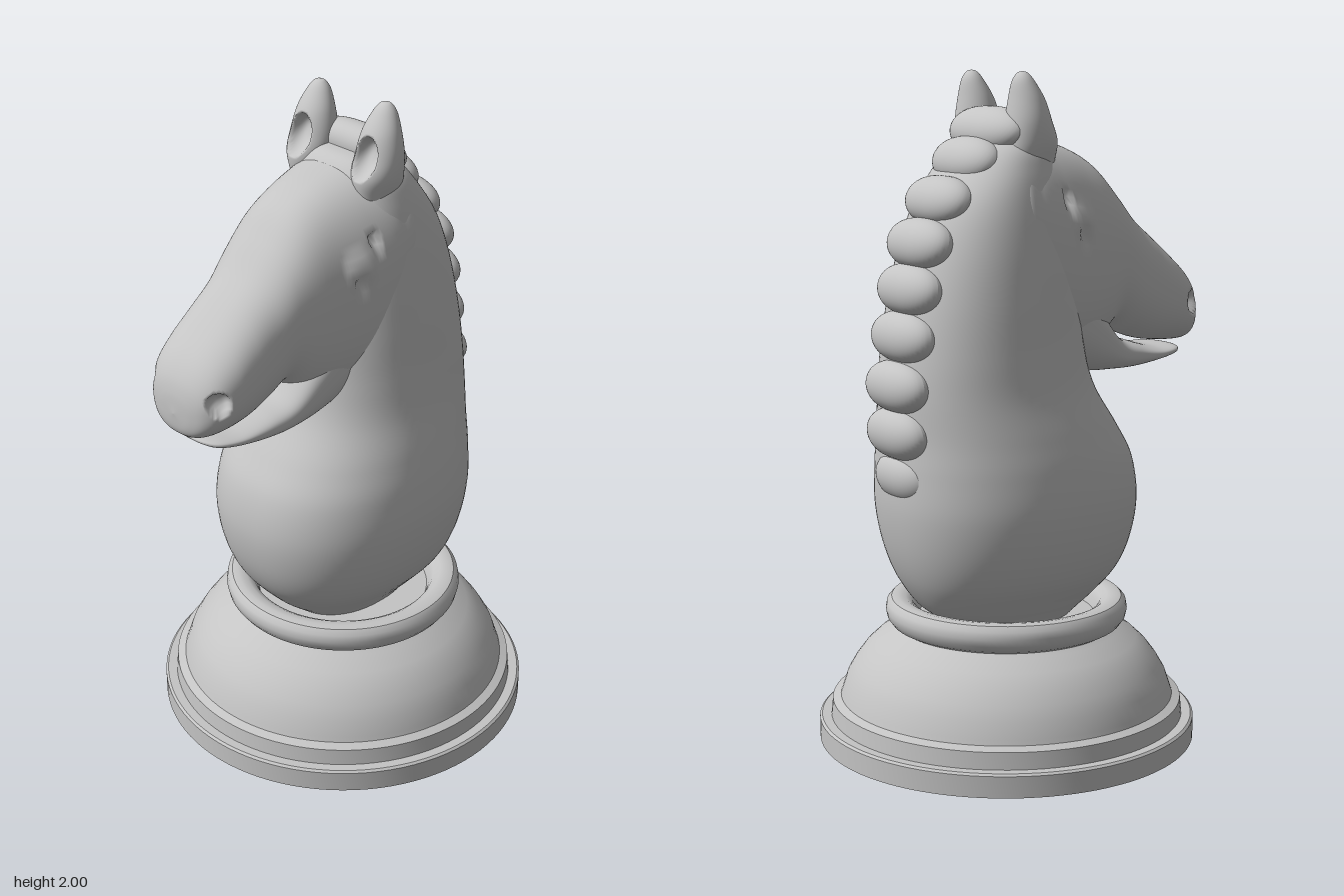
import * as THREE from 'three';
import { toCreasedNormals } from 'three/addons/utils/BufferGeometryUtils.js';

const SIDES = 80;

// Closed skin through cross-sections [t, lo, hi, halfWidth].
// axis 'y': t is height, lo..hi is depth. axis 'z': t is depth (front to back), lo..hi is height.
function loft(axis, sections, steps, power = 2.3) {
  const last = sections.length - 1;
  const spline = new THREE.CubicInterpolant(sections.map((_, i) => i), sections.flat(), 4);
  const soft = (v) => Math.sign(v) * Math.abs(v) ** (2 / power);
  const positions = [], index = [];
  for (let i = 0; i <= steps; i++) {
    const [t, lo, hi, halfWidth] = spline.evaluate((i / steps) * last);
    for (let j = 0; j < SIDES; j++) {
      const a = (j / SIDES) * Math.PI * 2;
      const x = halfWidth * soft(Math.cos(a));
      const across = (lo + hi) / 2 + ((hi - lo) / 2) * soft(Math.sin(a));
      positions.push(...(axis === 'y' ? [x, t, across] : [x, across, t]));
      if (i < steps) {
        const p = i * SIDES + j, q = i * SIDES + ((j + 1) % SIDES);
        index.push(p, p + SIDES, q, q, p + SIDES, q + SIDES);
      }
    }
  }
  const geometry = new THREE.BufferGeometry();
  geometry.setAttribute('position', new THREE.Float32BufferAttribute(positions, 3));
  geometry.setIndex(index);
  geometry.computeVertexNormals();
  return geometry;
}

// Pushes the surface inside an ellipsoid, for hollows and swellings.
function press(geometry, centre, radii, push) {
  const c = new THREE.Vector3(...centre), r = new THREE.Vector3(...radii);
  const p = new THREE.Vector3(), v = new THREE.Vector3();
  const position = geometry.attributes.position;
  for (let i = 0; i < position.count; i++) {
    p.fromBufferAttribute(position, i);
    const d = v.copy(p).sub(c).divide(r).length();
    if (d < 1) {
      p.addScaledVector(v.set(...push), 1 - d ** 3);
      position.setXYZ(i, p.x, p.y, p.z);
    }
  }
  geometry.computeVertexNormals();
}

export function createModel() {
  const model = new THREE.Group();
  const grey = new THREE.MeshStandardMaterial({ color: 0xc4c4c4 });
  grey.name = 'plain grey';
  const add = (name, geometry) => {
    const mesh = new THREE.Mesh(geometry, grey);
    mesh.name = name;
    model.add(mesh);
    return mesh;
  };

  // Turned base: foot, step, dome and rounded collar with a sunken middle
  const profile = [
    [0, 0], [0.57, 0], [0.57, 0.064], [0.563, 0.07], [0.535, 0.07], [0.53, 0.12], [0.505, 0.13],
    [0.5, 0.145], [0.485, 0.19], [0.462, 0.23], [0.432, 0.27], [0.395, 0.305], [0.345, 0.335], [0.33, 0.345],
    [0.348, 0.355], [0.361, 0.373], [0.366, 0.395], [0.362, 0.417], [0.348, 0.432], [0.33, 0.436],
    [0.305, 0.432], [0.285, 0.42], [0.274, 0.4], [0.265, 0.375], [0, 0.37],
  ].map(([r, y]) => new THREE.Vector2(r, y));
  const base = add('base', toCreasedNormals(new THREE.LatheGeometry(profile, 96), 0.6));
  base.position.z = -0.043;

  // Chest and neck
  add('neck', loft('y', [
    [0.36, -0.24, 0.14, 0.15], [0.4, -0.29, 0.19, 0.18], [0.44, -0.335, 0.235, 0.215],
    [0.52, -0.385, 0.3, 0.28], [0.62, -0.42, 0.34, 0.32], [0.74, -0.44, 0.355, 0.338],
    [0.86, -0.44, 0.335, 0.33], [0.96, -0.435, 0.28, 0.31], [1.08, -0.435, 0.205, 0.282],
    [1.2, -0.425, 0.17, 0.268], [1.35, -0.4, 0.15, 0.255], [1.5, -0.36, 0.13, 0.24],
    [1.62, -0.31, 0.1, 0.222], [1.72, -0.24, 0.07, 0.2], [1.79, -0.18, 0.04, 0.17],
    [1.83, -0.13, 0, 0.11], [1.84, -0.06, -0.06, 0],
  ], 110));

  // Skull and upper muzzle
  const head = loft('z', [
    [0.618, 1.24, 1.24, 0], [0.612, 1.19, 1.3, 0.065], [0.595, 1.17, 1.35, 0.11],
    [0.56, 1.165, 1.4, 0.14], [0.5, 1.168, 1.455, 0.155], [0.43, 1.178, 1.515, 0.158],
    [0.36, 1.205, 1.575, 0.16], [0.29, 1.235, 1.655, 0.17], [0.22, 1.17, 1.73, 0.185],
    [0.14, 1.14, 1.775, 0.2], [0.04, 1.14, 1.805, 0.222], [-0.06, 1.2, 1.825, 0.23],
    [-0.13, 1.35, 1.8, 0.2], [-0.18, 1.6, 1.6, 0],
  ], 160, 2.4);
  for (const s of [1, -1]) {
    press(head, [s * 0.125, 1.295, 0.562], [0.05, 0.036, 0.034], [s * -0.03, 0, -0.025]); // nostril
    press(head, [s * 0.2, 1.575, 0.09], [0.1, 0.05, 0.055], [s * 0.013, 0, 0]); // eyeball
    press(head, [s * 0.2, 1.522, 0.085], [0.1, 0.018, 0.032], [s * -0.025, 0, 0]); // lower lid
    press(head, [s * 0.2, 1.64, 0.035], [0.1, 0.022, 0.022], [s * -0.025, 0, 0]); // eye corner
  }
  add('head', head);

  // Lower jaw, parted from the muzzle by the mouth slit
  add('lowerJaw', loft('z', [
    [0.57, 1.148, 1.148, 0], [0.56, 1.138, 1.153, 0.06], [0.53, 1.126, 1.156, 0.1],
    [0.46, 1.113, 1.158, 0.122], [0.37, 1.1, 1.182, 0.138], [0.29, 1.098, 1.216, 0.15],
    [0.21, 1.1, 1.32, 0.165], [0.12, 1.12, 1.42, 0.175], [0, 1.17, 1.44, 0.17], [-0.06, 1.3, 1.3, 0],
  ], 60, 2.6));

  // Hollowed ears
  const ear = loft('y', [
    [1.74, -0.13, 0.03, 0.05], [1.8, -0.125, 0.035, 0.068], [1.86, -0.12, 0.012, 0.07],
    [1.92, -0.112, -0.01, 0.058], [1.97, -0.104, -0.04, 0.037], [1.994, -0.09, -0.06, 0.018],
    [2, -0.075, -0.075, 0],
  ], 60, 2);
  press(ear, [0, 1.855, 0.015], [0.042, 0.065, 0.06], [0, 0, -0.05]);
  for (const s of [1, -1]) add(s > 0 ? 'leftEar' : 'rightEar', ear).position.x = s * 0.13;

  // Plaited mane: [height, depth, half width] from the poll down the neck
  const plaits = [
    [1.83, -0.105, 0.17], [1.745, -0.18, 0.145], [1.635, -0.275, 0.145], [1.515, -0.34, 0.145],
    [1.385, -0.375, 0.145], [1.25, -0.398, 0.145], [1.108, -0.42, 0.142], [0.97, -0.42, 0.138],
    [0.84, -0.398, 0.125],
  ];
  const plait = new THREE.SphereGeometry(1, 40, 28);
  const pos = plait.attributes.position;
  for (let i = 0; i < pos.count; i++) {
    const x = pos.getX(i);
    pos.setX(i, Math.sign(x) * Math.abs(x) ** 0.8);
  }
  plait.computeVertexNormals();
  plaits.forEach(([y, z, halfWidth], i) => {
    const above = plaits[Math.max(i - 1, 0)], below = plaits[Math.min(i + 1, plaits.length - 1)];
    const mesh = add('manePlait', plait);
    mesh.position.set(0, y, z);
    mesh.scale.set(halfWidth, 0.074, 0.062);
    mesh.rotation.x = Math.atan2(above[1] - below[1], above[0] - below[0]);
  });

  return model;
}
